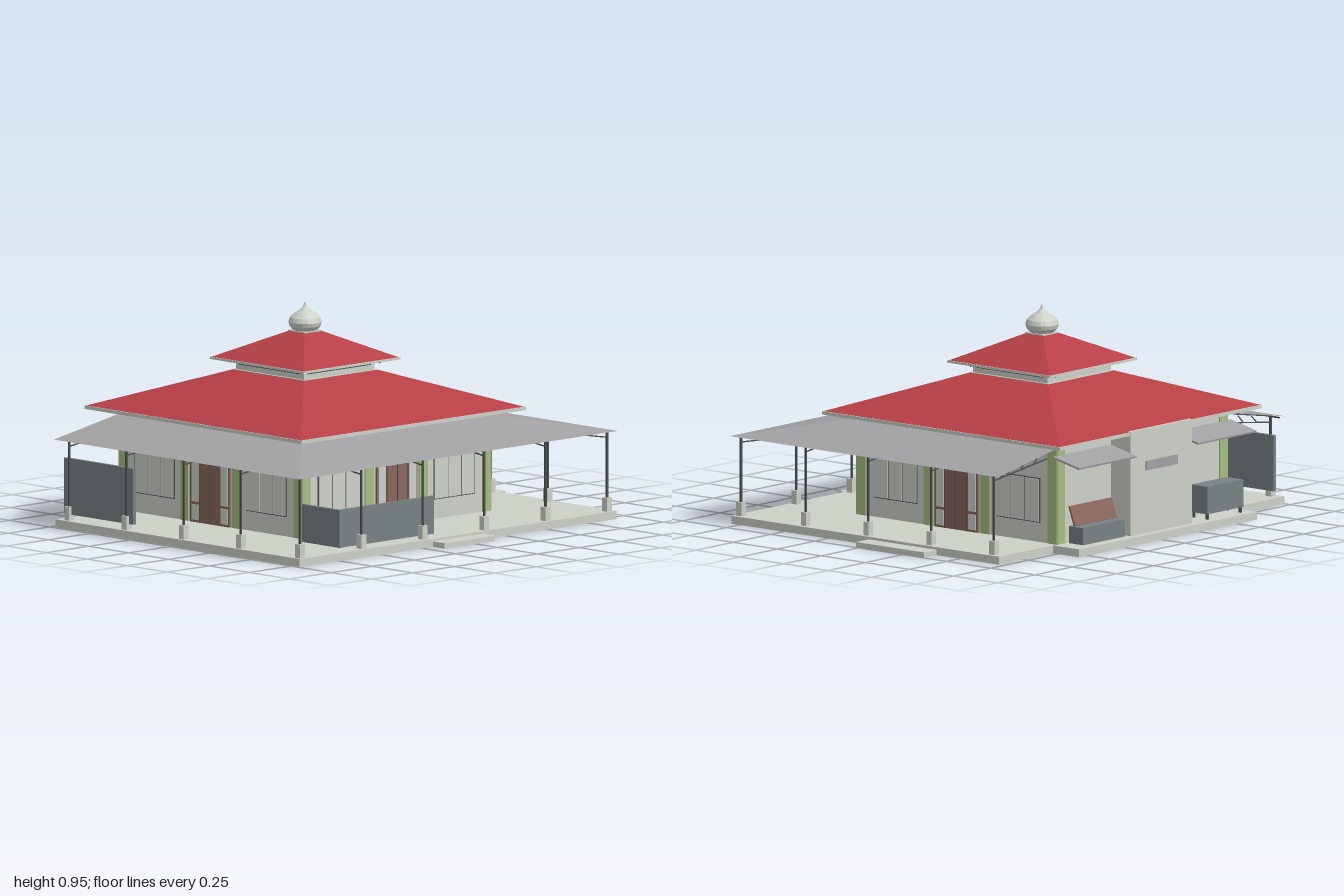
import * as THREE from 'three';

const mat = (name, color, side = THREE.FrontSide) => {
  const m = new THREE.MeshStandardMaterial({ color, side });
  m.name = name;
  return m;
};

export function createModel() {
  const plaster = mat('pale plaster', 0xccd1c8);
  const red = mat('red roof', 0xb63f46, THREE.DoubleSide);
  const grey = mat('grey canopy', 0xa2a2a4, THREE.DoubleSide);
  const slate = mat('slate panel', 0x788184);
  const green = mat('green pilaster', 0xa6bd82);
  const brown = mat('brown wood', 0x8a665c);
  const dark = mat('dark frame', 0x4c514f);

  const root = new THREE.Group();
  const CX = -0.035, CZ = -0.16, HALF = 0.565, FLOOR = 0.035;

  function add(parent, name, geometry, material) {
    const m = new THREE.Mesh(geometry, material);
    m.name = name;
    parent.add(m);
    return m;
  }
  // Box given by its limits on each axis
  function box(parent, name, material, x0, x1, y0, y1, z0, z1) {
    const m = add(parent, name, new THREE.BoxGeometry(x1 - x0, y1 - y0, z1 - z0), material);
    m.position.set((x0 + x1) / 2, (y0 + y1) / 2, (z0 + z1) / 2);
    return m;
  }
  // Thin square bar between two points
  function bar(parent, name, material, a, b, t) {
    const p = new THREE.Vector3(...a), q = new THREE.Vector3(...b);
    const m = add(parent, name, new THREE.BoxGeometry(t, t, p.distanceTo(q)), material);
    m.position.copy(p).add(q).multiplyScalar(0.5);
    m.lookAt(q);
    return m;
  }
  const faceted = (g) => {
    const n = g.toNonIndexed();
    n.computeVertexNormals();
    return n;
  };

  // Floor slab with narrower rear terrace and two entrance steps
  box(root, 'floorSlab', plaster, -0.99, 0.915, 0, FLOOR, -0.725, 0.795);
  box(root, 'rearTerrace', plaster, -0.63, 0.555, 0, FLOOR, -0.873, -0.725);
  box(root, 'frontStep', plaster, -0.19, 0.115, 0, 0.024, 0.795, 0.868);
  box(root, 'sideStep', plaster, 0.915, 1.0, 0, 0.024, -0.37, 0.015);

  // Main hall
  box(root, 'hallWalls', plaster, CX - HALF, CX + HALF, FLOOR, 0.48, CZ - HALF, CZ + HALF);

  // One outside wall: pilasters, two windows and a central door
  function facade(turn, openings) {
    const g = new THREE.Group();
    g.name = 'facade';
    g.position.set(CX, 0, CZ);
    g.rotation.y = turn;
    root.add(g);
    const z = HALF;
    for (const s of [-1, 1]) {
      box(g, 'cornerPilaster', green, s * 0.543 - 0.0255, s * 0.543 + 0.0255, FLOOR, 0.475, z - 0.04, z + 0.006);
      if (!openings) continue;
      box(g, 'doorPilaster', green, s * 0.162 - 0.026, s * 0.162 + 0.026, FLOOR, 0.475, z - 0.01, z + 0.006);
      const c = s * 0.348;
      box(g, 'windowFrame', dark, c - 0.123, c + 0.123, 0.12, 0.316, z - 0.004, z + 0.004);
      for (const i of [-1, 0, 1]) {
        const p = c + i * 0.081;
        box(g, 'windowPane', plaster, p - 0.038, p + 0.038, 0.124, 0.312, z, z + 0.007);
      }
    }
    if (!openings) return;
    box(g, 'doorFrame', brown, -0.122, 0.122, FLOOR, 0.33, z - 0.004, z + 0.008);
    for (const s of [-1, 1]) {
      const c = s * 0.091;
      box(g, 'sidelightPane', plaster, c - 0.021, c + 0.021, 0.125, 0.318, z, z + 0.011);
      box(g, 'sidelightPanel', plaster, c - 0.021, c + 0.021, 0.045, 0.113, z, z + 0.011);
    }
    for (const x of [-0.063, 0, 0.063]) box(g, 'doorSeam', dark, x - 0.0012, x + 0.0012, FLOOR, 0.325, z, z + 0.0105);
  }
  for (const t of [0, Math.PI / 2, -Math.PI / 2]) facade(t, true);
  facade(Math.PI, false);

  // Square hipped roof tier with a pale fascia around the eave
  function roofTier(name, half0, y0, half1, y1, fascia) {
    const g = new THREE.CylinderGeometry(half1 * Math.SQRT2, half0 * Math.SQRT2, y1 - y0, 4, 1, true);
    g.rotateY(Math.PI / 4);
    const roof = add(root, name, faceted(g), red);
    roof.position.set(CX, (y0 + y1) / 2, CZ);
    const f = new THREE.Group();
    f.name = name + 'Fascia';
    f.position.set(CX, 0, CZ);
    root.add(f);
    for (let i = 0; i < 4; i++) {
      const side = new THREE.Group();
      side.rotation.y = i * Math.PI / 2;
      f.add(side);
      box(side, 'fasciaBoard', plaster, -half0 - 0.003, half0 + 0.003, y0 - fascia, y0 + 0.001, half0 - 0.007, half0 + 0.003);
    }
  }
  roofTier('mainRoof', 0.672, 0.489, 0.222, 0.65, 0.014);
  roofTier('upperRoof', 0.288, 0.704, 0.05, 0.82, 0.009);

  // Ventilated neck between the two roofs
  box(root, 'neckLedge', plaster, CX - 0.222, CX + 0.222, 0.635, 0.652, CZ - 0.222, CZ + 0.222);
  box(root, 'neckWalls', plaster, CX - 0.212, CX + 0.212, 0.64, 0.694, CZ - 0.212, CZ + 0.212);
  for (let i = 0; i < 4; i++) {
    const g = new THREE.Group();
    g.name = 'neckVents';
    g.position.set(CX, 0, CZ);
    g.rotation.y = i * Math.PI / 2;
    root.add(g);
    box(g, 'ventSlot', dark, -0.19, 0.19, 0.674, 0.681, 0.208, 0.214);
    for (const s of [-1, 1]) bar(g, 'eaveBracket', dark, [s * 0.2, 0.675, 0.212], [s * 0.2, 0.697, 0.255], 0.006);
  }
  box(root, 'neckSoffit', plaster, CX - 0.28, CX + 0.28, 0.693, 0.697, CZ - 0.28, CZ + 0.28);

  // Onion dome on a short collar
  box(root, 'domeCollar', plaster, CX - 0.052, CX + 0.052, 0.812, 0.824, CZ - 0.052, CZ + 0.052);
  const profile = [[0.042, 0.82], [0.056, 0.829], [0.068, 0.843], [0.073, 0.86], [0.066, 0.88],
    [0.046, 0.898], [0.024, 0.912], [0.009, 0.927], [0, 0.95]].map(([r, y]) => new THREE.Vector2(r, y));
  add(root, 'dome', faceted(new THREE.LatheGeometry(profile, 20)), plaster).position.set(CX, 0, CZ);

  // Sloping veranda canopy around the front and both sides
  const inner = [[-0.605, -0.725], [-0.605, 0.41], [0.535, 0.41], [0.535, -0.725]];
  const outer = [[-1, -0.725], [-1, 0.8], [0.92, 0.8], [0.92, -0.725]];
  const pos = [];
  for (let i = 0; i < 3; i++) {
    const a = [inner[i][0], 0.456, inner[i][1]], b = [outer[i][0], 0.385, outer[i][1]];
    const c = [outer[i + 1][0], 0.385, outer[i + 1][1]], d = [inner[i + 1][0], 0.456, inner[i + 1][1]];
    pos.push(...a, ...b, ...c, ...a, ...c, ...d);
  }
  const canopy = new THREE.BufferGeometry();
  canopy.setAttribute('position', new THREE.Float32BufferAttribute(pos, 3));
  canopy.computeVertexNormals();
  add(root, 'verandaCanopy', canopy, grey);

  // Veranda posts on pedestals, with rafters back to the wall
  function post(x, z, wx, wz) {
    box(root, 'postPedestal', plaster, x - 0.015, x + 0.015, FLOOR, 0.095, z - 0.015, z + 0.015);
    box(root, 'verandaPost', dark, x - 0.004, x + 0.004, 0.09, 0.388, z - 0.004, z + 0.004);
    bar(root, 'lowerRafter', dark, [x, 0.358, z], [wx, 0.405, wz], 0.005);
    bar(root, 'upperRafter', dark, [x, 0.386, z], [wx, 0.448, wz], 0.005);
    for (const t of [0.25, 0.5, 0.75]) {
      const px = x + (wx - x) * t, pz = z + (wz - z) * t;
      bar(root, 'rafterWeb', dark, [px, 0.358 + 0.047 * t, pz], [px + (wx - x) * 0.1, 0.386 + 0.062 * t, pz + (wz - z) * 0.1], 0.004);
    }
  }
  for (let i = 0; i < 6; i++) {
    const x = -0.962 + i * 0.369;
    post(x, 0.768, Math.min(0.53, Math.max(-0.6, x)), 0.405);
  }
  for (const z of [0.4, 0.045, -0.312, -0.668]) {
    post(-0.962, z, -0.6, z);
    post(0.883, z, 0.53, z);
  }
  bar(root, 'frontEaveBeam', dark, [-0.962, 0.384, 0.768], [0.883, 0.384, 0.768], 0.006);
  for (const x of [-0.962, 0.883]) bar(root, 'sideEaveBeam', dark, [x, 0.384, 0.768], [x, 0.384, -0.72], 0.006);

  // Rear niche with vent and side door
  box(root, 'rearNiche', plaster, -0.24, 0.17, FLOOR, 0.493, -0.838, -0.72);
  box(root, 'nicheVent', grey, -0.14, 0.07, 0.31, 0.352, -0.843, -0.836);
  box(root, 'nicheDoor', brown, -0.246, -0.238, FLOOR, 0.3, -0.825, -0.745);

  // Small rear canopies either side of the niche
  for (const [x0, x1] of [[-0.63, -0.24], [0.17, 0.555]]) {
    const m = box(root, 'rearCanopy', grey, x0, x1, 0.4, 0.408, -0.873, -0.722);
    m.rotation.x = -0.22;
  }

  // Low screen on the front veranda: front panel and one return
  box(root, 'screenFront', slate, -0.655, -0.085, FLOOR, 0.2, 0.68, 0.695);
  box(root, 'screenReturn', slate, -0.655, -0.64, FLOOR, 0.2, 0.462, 0.69);

  // Tall board along the right side of the veranda
  box(root, 'sideBoard', slate, -0.962, -0.945, 0.06, 0.305, -0.7, -0.27);

  // Rear bench with a wooden back, and a cabinet on legs
  box(root, 'bench', slate, 0.19, 0.47, FLOOR, 0.11, -0.823, -0.742);
  const back = box(root, 'benchBack', brown, 0.19, 0.47, 0.11, 0.2, -0.762, -0.754);
  back.rotation.x = 0.35;
  box(root, 'cabinet', slate, -0.58, -0.34, 0.06, 0.18, -0.84, -0.745);
  for (const x of [-0.575, -0.355]) for (const z of [-0.835, -0.76]) {
    box(root, 'cabinetLeg', dark, x, x + 0.01, FLOOR, 0.06, z, z + 0.01);
  }
  return root;
}
